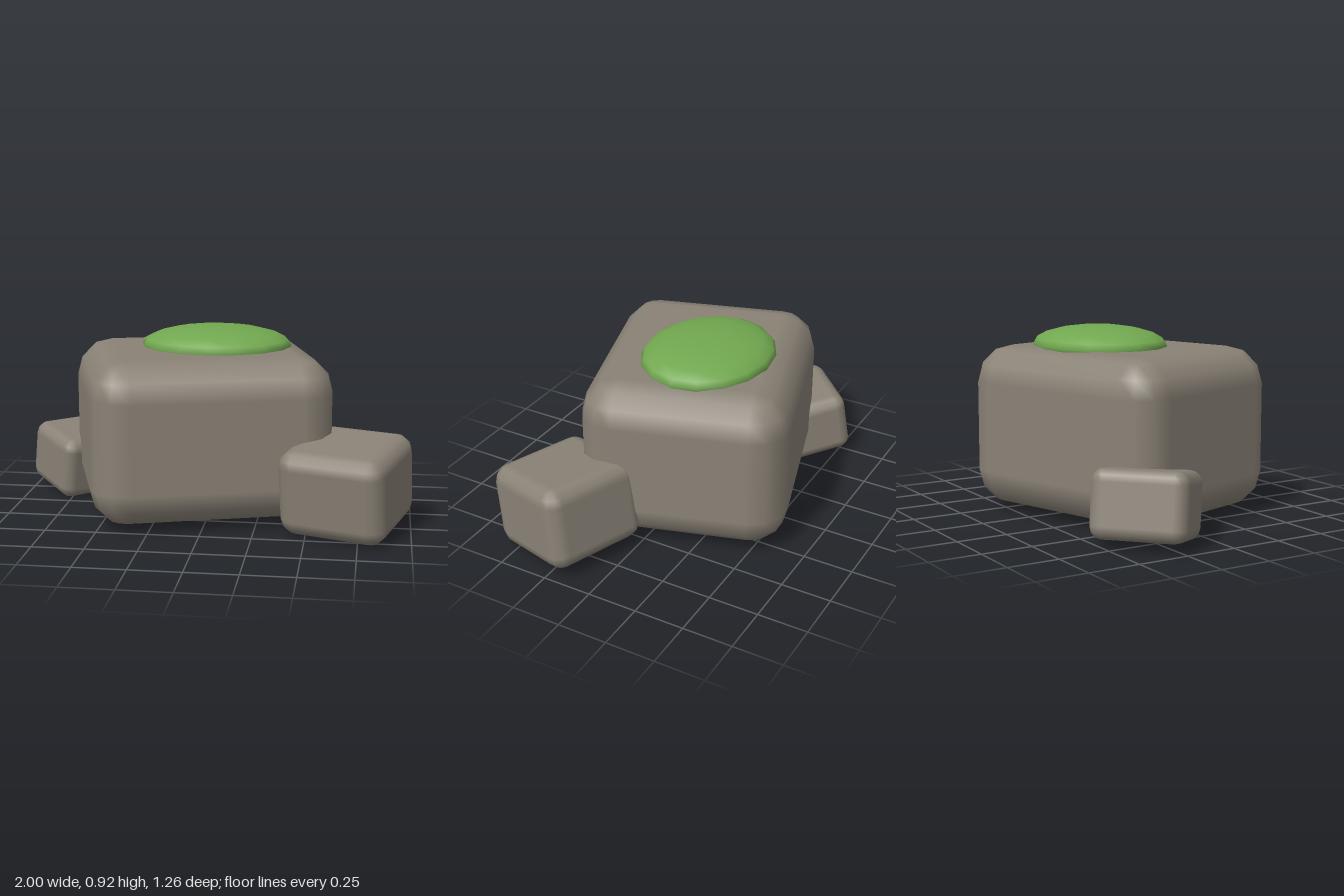
import * as THREE from 'three';

// Box with every edge rounded in three 30-degree steps and smooth normals.
// A sphere grid is pulled apart at its quadrants; the poles become the flat caps.
function roundedBlock(w, h, d, r) {
  const geo = new THREE.SphereGeometry(1, 16, 9);
  const pos = geo.attributes.position;
  const nor = geo.attributes.normal;
  const corner = new THREE.Vector3(w / 2 - r, h / 2 - r, d / 2 - r);
  const signX = [-1, 1, 1, -1];
  const signZ = [1, 1, -1, -1];
  for (let j = 0; j <= 9; j++) {
    const upper = j < 5;
    const step = upper ? Math.max(j - 1, 0) : Math.min(j - 2, 6);
    const theta = step * Math.PI / 6;
    for (let i = 0; i <= 16; i++) {
      const k = j * 17 + i;
      const q = Math.floor(i / 4) % 4;
      const phi = q * Math.PI / 2 + (i % 4) * Math.PI / 6;
      const n = new THREE.Vector3(
        -Math.cos(phi) * Math.sin(theta), Math.cos(theta), Math.sin(phi) * Math.sin(theta));
      const spread = j === 0 || j === 9 ? 0 : 1;
      pos.setXYZ(k,
        n.x * r + signX[q] * corner.x * spread,
        n.y * r + (upper ? 1 : -1) * corner.y,
        n.z * r + signZ[q] * corner.z * spread);
      nor.setXYZ(k, n.x, n.y, n.z);
    }
  }
  return geo;
}

export function createModel() {
  const group = new THREE.Group();
  const stone = new THREE.MeshStandardMaterial({ color: 0x8a8276 });
  stone.name = 'stone';
  const moss = new THREE.MeshStandardMaterial({ color: 0x72a850 });
  moss.name = 'moss';

  // Stones: size, edge radius, centre, turn about y, lean about own x
  const stones = [
    { name: 'mainRock', size: [1.19, 0.8, 1.01], r: 0.18, at: [-0.06, 0.43, -0.02], turn: 0.3, lean: 0 },
    { name: 'leftRock', size: [0.53, 0.42, 0.505], r: 0.08, at: [0.687, 0.24, 0.313], turn: -0.35, lean: 0.13 },
    { name: 'rightRock', size: [0.45, 0.32, 0.38], r: 0.06, at: [-0.72, 0.185, -0.283], turn: 0.75, lean: 0.17 },
  ];
  for (const s of stones) {
    const mesh = new THREE.Mesh(roundedBlock(...s.size, s.r), stone);
    mesh.name = s.name;
    mesh.position.set(...s.at);
    mesh.rotation.set(s.lean, s.turn, 0, 'YXZ');
    group.add(mesh);
  }

  // Flattened moss cushion on top
  const cushion = new THREE.Mesh(new THREE.SphereGeometry(1, 16, 10), moss);
  cushion.name = 'mossPatch';
  cushion.scale.set(0.378, 0.095, 0.318);
  cushion.position.set(0.01, 0.835, -0.09);
  group.add(cushion);

  return group;
}
